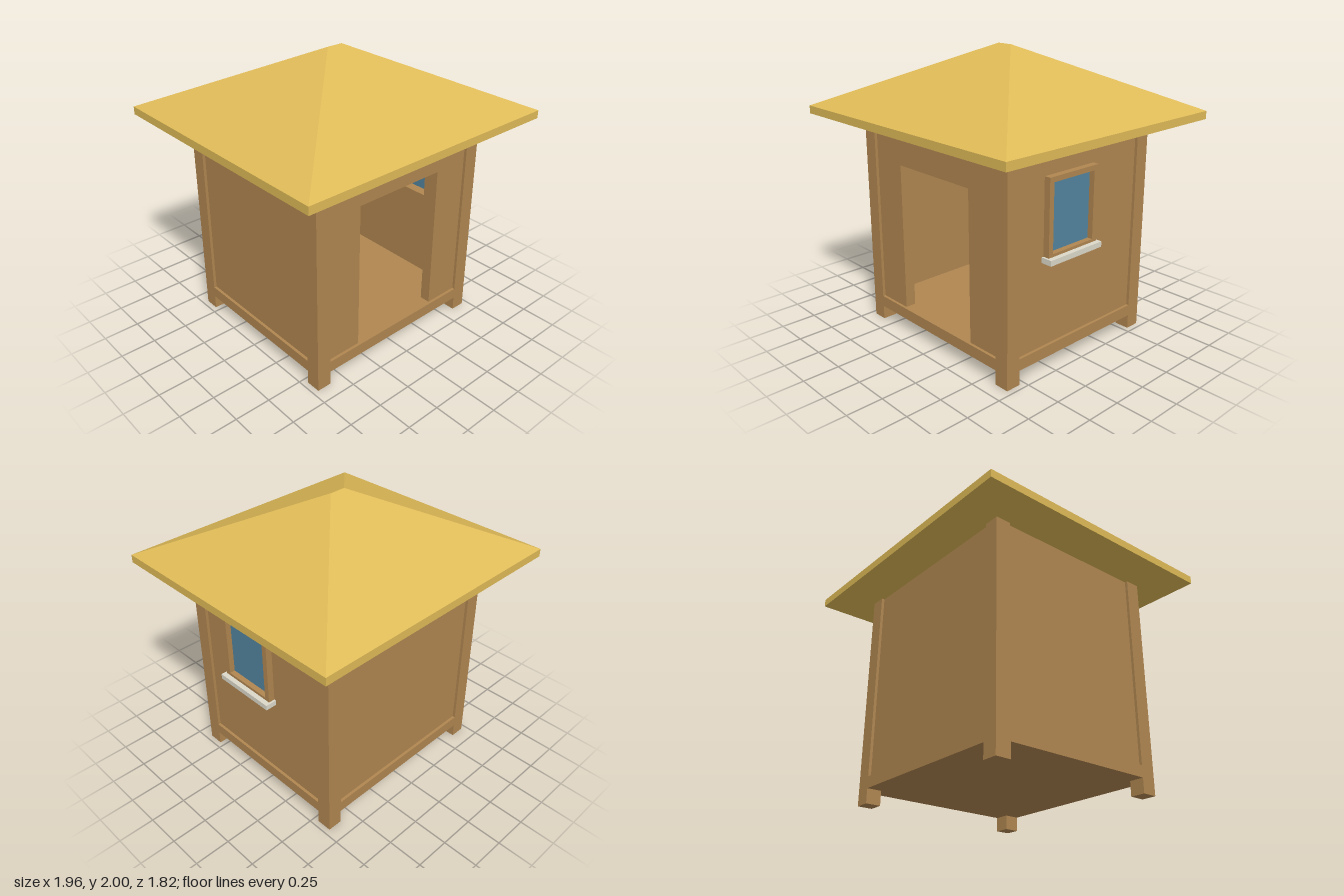
import * as THREE from 'three';

const mat = (name, color) => {
  const m = new THREE.MeshStandardMaterial({ color });
  m.name = name;
  return m;
};

export function createModel() {
  const wood = mat('wood', 0xb08650);
  const thatch = mat('thatch', 0xdeba57);
  const glass = mat('glass', 0x52849f);
  const stone = mat('pale sill', 0xdcd8ca);

  const hut = new THREE.Group();
  hut.name = 'hut';

  const add = (parent, name, geometry, material, x = 0, y = 0, z = 0) => {
    const mesh = new THREE.Mesh(geometry, material);
    mesh.name = name;
    mesh.position.set(x, y, z);
    parent.add(mesh);
    return mesh;
  };

  // Flat panel with an optional rectangular opening, extruded along +z
  const rect = (Type, x0, x1, y0, y1) => {
    const p = new Type();
    p.moveTo(x0, y0);
    p.lineTo(x1, y0);
    p.lineTo(x1, y1);
    p.lineTo(x0, y1);
    p.closePath();
    return p;
  };
  const panel = (outer, hole, depth) => {
    const shape = rect(THREE.Shape, ...outer);
    if (hole) shape.holes.push(rect(THREE.Path, ...hole));
    return new THREE.ExtrudeGeometry(shape, { depth, bevelEnabled: false });
  };

  const W = 0.71, D = 0.645, POST = 0.105;   // half width, half depth, post size
  const FLOOR = 0.18, EAVES = 1.515, RECESS = 0.02, THICK = 0.075;

  // Corner posts
  for (const sx of [-1, 1]) for (const sz of [-1, 1]) {
    add(hut, 'cornerPost', new THREE.BoxGeometry(POST, EAVES, POST), wood,
      sx * (W - POST / 2), EAVES / 2, sz * (D - POST / 2));
  }

  // Floor slab, flush with the posts
  add(hut, 'floor', new THREE.BoxGeometry(2 * W, 0.08, 2 * D), wood, 0, 0.14, 0);

  // Front wall with doorway, made of one shape notched from below
  const wx = W - POST, wz = D - POST;
  const front = new THREE.Shape();
  [[-wx, FLOOR], [-0.345, FLOOR], [-0.345, 1.22], [0.345, 1.22], [0.345, FLOOR],
    [wx, FLOOR], [wx, EAVES], [-wx, EAVES]]
    .forEach(([x, y], i) => (i ? front.lineTo(x, y) : front.moveTo(x, y)));
  add(hut, 'frontWall',
    new THREE.ExtrudeGeometry(front, { depth: THICK, bevelEnabled: false }),
    wood, 0, 0, D - RECESS - THICK);

  // Back and right-hand side walls
  add(hut, 'backWall', panel([-wx, wx, FLOOR, EAVES], null, THICK), wood, 0, 0, -D + RECESS);
  add(hut, 'plainSideWall', panel([-wz, wz, FLOOR, EAVES], null, THICK), wood, -W + RECESS)
    .rotation.y = Math.PI / 2;

  // Window side: local x runs towards the back, local z points outwards (+x)
  const side = new THREE.Group();
  side.name = 'windowSide';
  side.rotation.y = Math.PI / 2;
  hut.add(side);
  const opening = [-0.285, 0.08, 0.815, 1.275];
  const face = W - RECESS;
  add(side, 'windowWall', panel([-wz, wz, FLOOR, EAVES], opening, THICK), wood, 0, 0, face - THICK);
  add(side, 'windowFrame', panel([-0.322, 0.118, 0.79, 1.31], opening, 0.045), wood, 0, 0, face);
  add(side, 'windowPane', new THREE.BoxGeometry(0.365, 0.46, 0.008), glass, -0.1025, 1.045, face + 0.002);
  add(side, 'windowSill', new THREE.BoxGeometry(0.47, 0.037, 0.08), stone, -0.1025, 0.777, face + 0.04);

  // Hipped roof: a box whose middle row is the eaves top and whose top row closes to a short ridge
  const box = new THREE.BoxGeometry(1.96, 2, 1.82, 1, 2, 1);
  const p = box.attributes.position;
  for (let i = 0; i < p.count; i++) {
    const y = p.getY(i);
    if (y > 0.5) p.setXYZ(i, Math.sign(p.getX(i)) * 0.06, 2, Math.sign(p.getZ(i)) * 0.002);
    else p.setY(i, y < -0.5 ? EAVES : 1.57);
  }
  const roof = box.toNonIndexed();
  roof.computeVertexNormals();
  add(hut, 'roof', roof, thatch);

  return hut;
}
